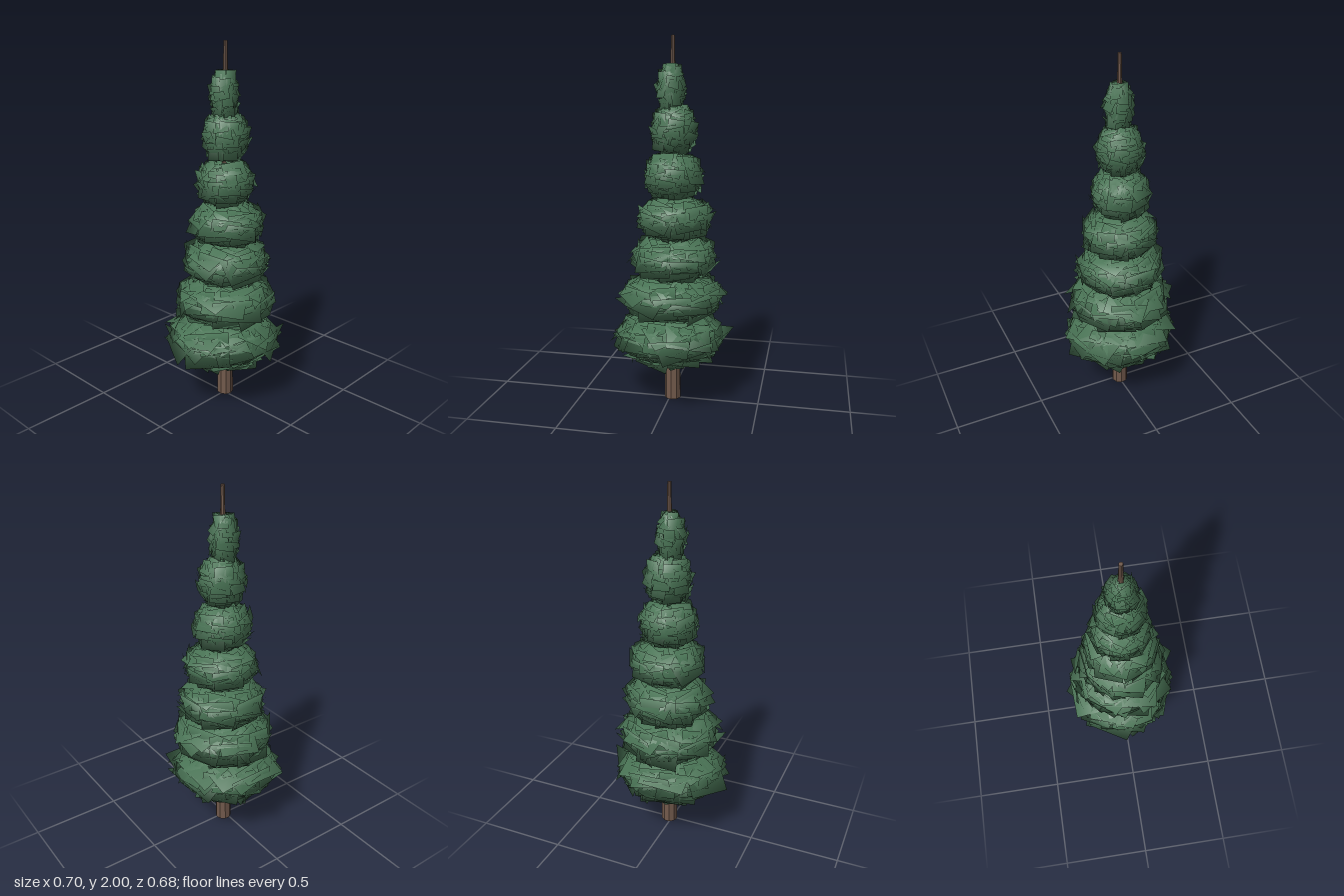
import * as THREE from 'three';

const CX = 0.015, CZ = -0.005;

// Seeded random numbers in -1..1
function makeRandom(seed) {
  return () => {
    seed = (seed * 1664525 + 1013904223) % 4294967296;
    return (seed / 4294967296) * 2 - 1;
  };
}

// Point on a squarish flattened spheroid: a = heading, e = elevation
function puffPoint(r, h, a, e) {
  const c = Math.pow(Math.max(Math.cos(e), 0), 0.5) * r;
  return new THREE.Vector3(c * Math.cos(a), h * Math.sin(e), c * Math.sin(a));
}

const puffNormal = (p, r, h) =>
  new THREE.Vector3(p.x / (r * r), p.y / (h * h), p.z / (r * r)).normalize();

// Solid inner body of a tier
function puffCore(r, h) {
  const profile = [];
  for (let i = 0; i <= 14; i++) {
    const p = puffPoint(r, h, 0, -Math.PI / 2 + (i * Math.PI) / 14);
    profile.push(new THREE.Vector2(p.x, p.y));
  }
  return new THREE.LatheGeometry(profile, 20);
}

// Overlapping flat foliage cards lying against the body, with rounded shading
function foliageCards(r, h, count, rand) {
  const pos = [], nor = [], idx = [];
  for (let i = 0; i < count; i++) {
    const a = i * 2.39996 + rand() * 0.2;
    const e = Math.asin(-0.97 + (1.94 * (i + 0.5)) / count);
    const p = puffPoint(r, h, a, e);
    const n = puffNormal(p, r, h);
    const t = new THREE.Vector3(0, 1, 0).cross(n).normalize();
    const flat = Math.abs(n.y);
    // Small random lean and roll
    const lean = n.clone().applyAxisAngle(t, rand() * 0.2);
    t.applyAxisAngle(lean, rand() * (0.12 + 0.5 * flat));
    const b = lean.clone().cross(t);
    const size = 1 + rand() * 0.25;
    const u = r * 0.4 * size;
    const v = THREE.MathUtils.lerp(h * 0.7, r * 0.28, flat) * size;
    const base = pos.length / 3;
    for (const [su, sv] of [[-1, -1], [1, -1], [1, 1], [-1, 1]]) {
      const q = p.clone().addScaledVector(t, su * u).addScaledVector(b, sv * v);
      q.y = THREE.MathUtils.clamp(q.y, -h * 1.07, h * 1.15);
      pos.push(q.x, q.y, q.z);
      nor.push(...puffNormal(q, r, h).toArray());
    }
    idx.push(base, base + 1, base + 2, base, base + 2, base + 3);
  }
  const g = new THREE.BufferGeometry();
  g.setAttribute('position', new THREE.Float32BufferAttribute(pos, 3));
  g.setAttribute('normal', new THREE.Float32BufferAttribute(nor, 3));
  g.setIndex(idx);
  return g;
}

export function createModel() {
  const tree = new THREE.Group();
  tree.name = 'coniferTree';

  const bark = new THREE.MeshStandardMaterial({ color: 0x725a4c, flatShading: true });
  bark.name = 'bark brown';
  const needles = new THREE.MeshStandardMaterial({ color: 0x4a7556, side: THREE.DoubleSide });
  needles.name = 'needle green';

  // Trunk: stout foot, long taper and thin leader at the top
  const trunkProfile = [[0, 0], [0.046, 0], [0.043, 0.3], [0.014, 1.8], [0.01, 2], [0, 2]];
  const trunk = new THREE.Mesh(
    new THREE.LatheGeometry(trunkProfile.map(([x, y]) => new THREE.Vector2(x, y)), 9), bark);
  trunk.name = 'trunk';
  trunk.position.set(CX, 0, CZ);
  tree.add(trunk);

  // Foliage, from the narrow skirt up: bottom height, top height, radius, sideways shift
  const tiers = [
    [0.215, 0.4, 0.205, 0.005],
    [0.255, 0.495, 0.26, 0], [0.485, 0.72, 0.236, 0.012], [0.7, 0.935, 0.2, 0.022],
    [0.92, 1.15, 0.172, 0.028], [1.14, 1.39, 0.133, 0.018], [1.38, 1.64, 0.102, 0.022],
    [1.6, 1.85, 0.06, 0.006],
  ];
  const rand = makeRandom(17);
  tiers.forEach(([y0, y1, r, x], i) => {
    const h = (y1 - y0) / 2 / 1.1;
    const tier = new THREE.Group();
    tier.name = i === 0 ? 'foliageSkirt' : `foliageTier${i}`;
    tier.position.set(x, (y0 + y1) / 2, CZ);
    const core = new THREE.Mesh(puffCore(r * 0.97, h * 0.97), needles);
    core.name = 'foliageCore';
    const cards = new THREE.Mesh(foliageCards(r, h, 75, rand), needles);
    cards.name = 'foliageCards';
    tier.add(core, cards);
    tree.add(tier);
  });

  return tree;
}
